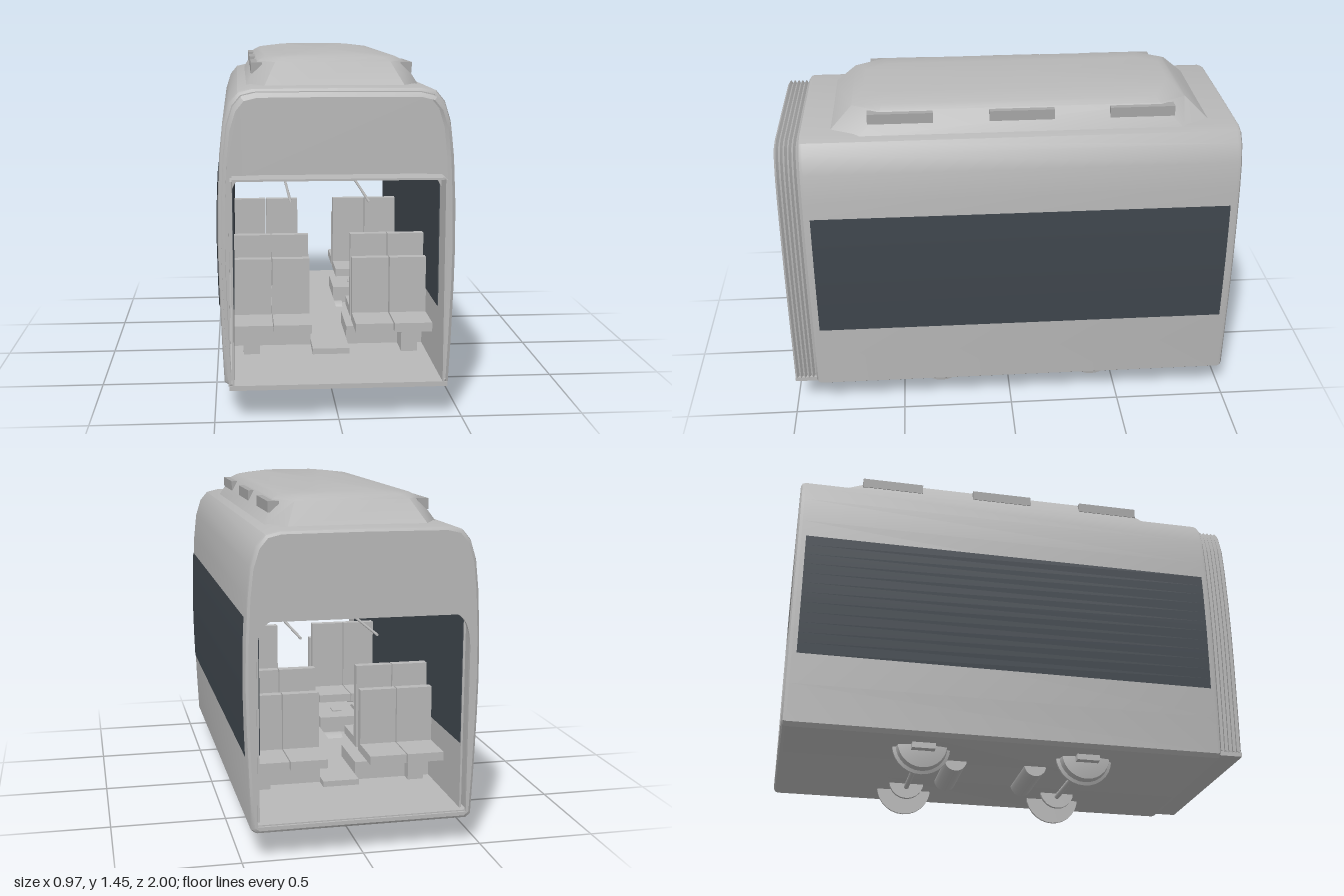
import * as THREE from 'three';
import { toCreasedNormals } from 'three/addons/utils/BufferGeometryUtils.js';

const paint = (name, color, side = THREE.FrontSide) => {
  const m = new THREE.MeshStandardMaterial({ color, side });
  m.name = name;
  return m;
};

// Half of the carriage cross-section, from the bottom centre to the roof centre
const HALF = [[0, .12], [.44, .12], [.46, .135], [.468, .3], [.477, .55], [.48, .72], [.477, .9],
  [.468, 1.08], [.455, 1.2], [.43, 1.28], [.395, 1.322], [.34, 1.335], [0, 1.337]];
const SECTION = [...HALF, ...HALF.slice(1, -1).reverse().map(([x, y]) => [-x, y])];
const CENTRE_Y = .73;

// Half width of the body at a given height
function halfWidth(y) {
  const i = HALF.findIndex((p, k) => k > 2 && p[1] >= y);
  const [a, b] = [HALF[i - 1], HALF[i]];
  return a[0] + (b[0] - a[0]) * (y - a[1]) / (b[1] - a[1]);
}

// Skin a list of closed rings of [x, y, z]
function loft(rings, crease = .6) {
  const n = rings[0].length, index = [];
  for (let i = 0; i < rings.length - 1; i++) for (let j = 0; j < n; j++) {
    const k = (j + 1) % n, a = i * n + j, b = i * n + k, c = b + n, d = a + n;
    index.push(a, b, c, a, c, d);
  }
  const g = new THREE.BufferGeometry();
  g.setAttribute('position', new THREE.Float32BufferAttribute(rings.flat(2), 3));
  g.setIndex(index);
  return toCreasedNormals(g, crease);
}

// Cross-section inset by a distance, placed at z
const ringAt = (z, inset) => SECTION.map(([x, y]) =>
  [x * (1 - inset / .48), CENTRE_Y + (y - CENTRE_Y) * (1 - inset / .61), z]);

export function createModel() {
  const root = new THREE.Group();
  root.name = 'railCarriage';
  const body = paint('body grey', 0xb8b8b8);
  const shell = paint('shell grey', 0xb8b8b8, THREE.DoubleSide);
  const glass = paint('dark glass', 0x3f464d, THREE.DoubleSide);
  const vent = paint('vent grey', 0xa6a6a6);

  const add = (name, geometry, material, x = 0, y = 0, z = 0) => {
    const m = new THREE.Mesh(geometry, material);
    m.name = name;
    m.position.set(x, y, z);
    root.add(m);
    return m;
  };
  // Box given by its limits
  const box = (name, mat, x0, x1, y0, y1, z0, z1) => add(name,
    new THREE.BoxGeometry(Math.abs(x1 - x0), y1 - y0, z1 - z0), mat, (x0 + x1) / 2, (y0 + y1) / 2, (z0 + z1) / 2);
  const rod = (name, r, length, x, y, z, axis, sides = 20) => {
    const g = new THREE.CylinderGeometry(r, r, length, sides);
    if (axis === 'x') g.rotateZ(Math.PI / 2);
    if (axis === 'z') g.rotateX(Math.PI / 2);
    return add(name, g, body, x, y, z);
  };

  // Outer skin with softened ends
  add('bodyShell', loft([ringAt(-1, .014), ringAt(-.993, .004), ringAt(-.98, 0),
    ringAt(.88, 0), ringAt(.893, .004), ringAt(.9, .014)]), shell);

  // Pleated gangway bellows
  const pleats = [];
  for (let i = 0; i <= 12; i++) pleats.push(ringAt(.89 + i * .11 / 12, i % 2 ? .018 : .03));
  add('bellows', loft(pleats, .3), shell);

  // End walls with a doorway
  const wall = new THREE.Shape(ringAt(0, .014).map(([x, y]) => new THREE.Vector2(x, y)));
  const door = new THREE.Path();
  door.moveTo(-.435, .15);
  door.lineTo(.435, .15);
  door.lineTo(.435, .84);
  door.bezierCurveTo(.432, .93, .41, .988, .35, .99);
  door.lineTo(-.35, .99);
  door.bezierCurveTo(-.41, .988, -.432, .93, -.435, .84);
  wall.holes.push(door);
  const wallGeometry = new THREE.ExtrudeGeometry(wall, { depth: .015, bevelEnabled: false });
  add('rearEndWall', wallGeometry, body, 0, 0, -1);
  add('frontEndWall', wallGeometry, body, 0, 0, .88);

  // Floor, ceiling and aisle
  box('floor', body, -.44, .44, .135, .155, -.99, 1);
  box('ceiling', body, -.42, .42, .98, .988, -.985, 1);
  box('aisleStep', body, -.08, .08, .155, .18, -.6, .6);

  for (const s of [-1, 1]) {
    // Curved window band outside, inner lining with its window
    const band = new THREE.PlaneGeometry(1.825, .565, 1, 12);
    band.rotateY(s * Math.PI / 2).translate(0, .7175, -.0475);
    const p = band.attributes.position;
    for (let i = 0; i < p.count; i++) p.setX(i, s * (halfWidth(p.getY(i)) + .004));
    band.computeVertexNormals();
    add('sideWindow', band, glass);
    box('innerLining', body, s * .42, s * .428, .15, .98, -.96, 1);
    box('innerWindow', glass, s * .416, s * .42, .435, .975, -.955, .865);
    rod('handrail', .006, 1.1, s * .17, .815, 0, 'z', 8);

    // Roof vents
    for (const z of [.465, -.055, -.575])
      box('roofVent', vent, s * .29, s * .337, 1.375, 1.42, z - .14, z + .14);

    // Running gear and the covers above it
    for (const z of [.32, -.4]) {
      const wheel = new THREE.LatheGeometry([[0, -.025], [.125, -.025], [.125, -.014], [.112, -.008],
        [.106, .022], [.07, .03], [0, .034]].map(([r, h]) => new THREE.Vector2(r, h)), 28);
      add('wheel', toCreasedNormals(wheel.rotateZ(-s * Math.PI / 2), .5), body, s * .305, .13, z);
      rod('brakeDisc', .08, .016, s * .19, .13, z, 'x');
      box('axleBox', body, s * .28, s * .37, .095, .135, z - .05, z + .05);
      box('wheelCover', body, s * .08, s * .42, .155, .235, z - .13, z + .13);
      box('hatch', body, s * .165, s * .21, .235, .241, z - .03, z + .03);
    }

    // Back-to-back double seats
    for (const d of [-1, 1]) for (const x of [.1725, .3375]) {
      const x0 = s * (x - .08), x1 = s * (x + .08);
      const span = (a, b) => [Math.min(d * a, d * b), Math.max(d * a, d * b)];
      box('seatCushion', body, x0, x1, .292, .33, ...span(.53, .75));
      box('seatBack', body, x0, x1, .33, .575, ...span(.53, .57));
      box('seatCushion', body, x0, x1, .292, .33, ...span(.27, .49));
      box('seatBack', body, x0, x1, .33, .665, ...span(.45, .49));
    }
    for (const z of [.51, -.51]) box('seatPedestal', body, s * .31, s * .38, .155, .295, z - .07, z + .07);
  }

  // Axles and underfloor cylinders
  for (const z of [.32, -.4]) rod('axle', .012, .6, 0, .105, z, 'x', 10);
  for (const z of [.13, -.23]) rod('underfloorCylinder', .05, .29, -.025, .125, z, 'x');

  // Hanging information screen
  box('screenFrame', body, -.125, .125, .87, .957, -.015, .015);
  for (const s of [-1, 1]) box('screenFace', glass, -.112, .112, .88, .95, s * .017 - .003, s * .017 + .003);
  rod('screenHanger', .006, .03, 0, .97, 0, 'y', 8);

  // Roof unit with cut corners and sloping sides
  const roofRing = (y, w, front, back, cx, cz) => [
    [w, y, front - cz], [w, y, back + cz], [w - cx, y, back], [cx - w, y, back],
    [-w, y, back + cz], [-w, y, front - cz], [cx - w, y, front], [w - cx, y, front]];
  add('roofUnit', loft([
    roofRing(1.325, .36, .775, -.885, .07, .13),
    roofRing(1.425, .308, .672, -.775, .07, .12),
    roofRing(1.442, .275, .65, -.752, .07, .11),
    roofRing(1.455, .17, .62, -.72, .06, .1),
    Array(8).fill([0, 1.457, -.05])], .7), body);

  return root;
}
